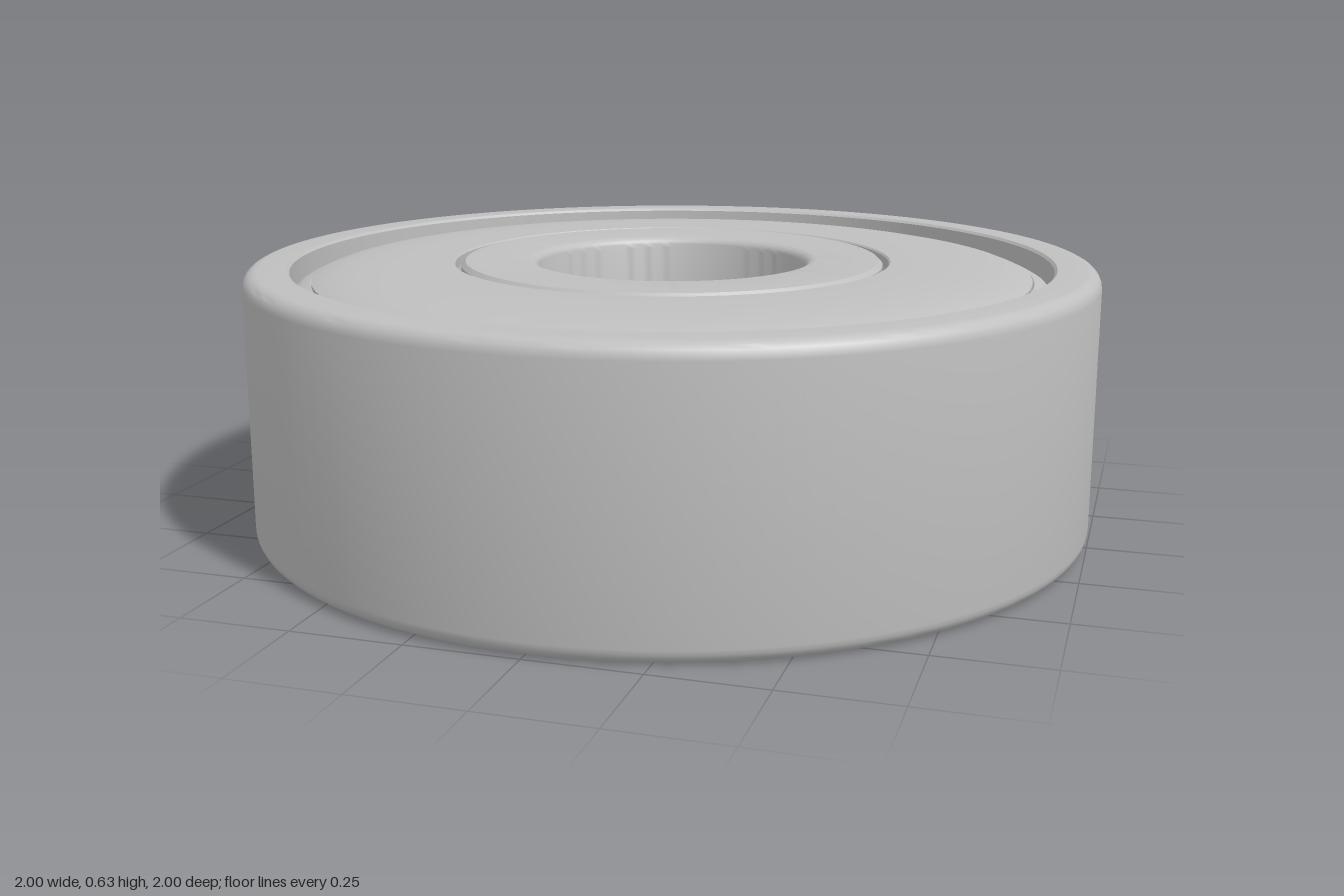
import * as THREE from 'three';
import { toCreasedNormals } from 'three/addons/utils/BufferGeometryUtils.js';

const HALF = 0.316; // half of the bearing width
const COUNT = 8;    // balls and shield tabs

// Points on a quarter-round corner, angles in degrees
function corner(cx, cy, r, from, to, steps = 5) {
  const pts = [];
  for (let i = 0; i <= steps; i++) {
    const a = THREE.MathUtils.degToRad(from + (to - from) * i / steps);
    pts.push([cx + r * Math.cos(a), cy + r * Math.sin(a)]);
  }
  return pts;
}

// Closed profile (counter-clockwise in radius, height) turned about y
function turn(profile, segments = 128, start = 0, length = Math.PI * 2) {
  const pts = [...profile, profile[0]].map(([r, y]) => new THREE.Vector2(r, y));
  return toCreasedNormals(new THREE.LatheGeometry(pts, segments, start, length), 0.5);
}

export function createModel() {
  const model = new THREE.Group();
  model.name = 'ballBearing';
  const steel = new THREE.MeshStandardMaterial({ color: 0xbfbfbf, side: THREE.DoubleSide });
  steel.name = 'steel';

  const add = (parent, name, geometry) => {
    const mesh = new THREE.Mesh(geometry, steel);
    mesh.name = name;
    parent.add(mesh);
    return mesh;
  };

  const bearing = new THREE.Group();
  bearing.name = 'bearing';
  bearing.position.y = HALF;
  model.add(bearing);

  // Outer ring with rounded rim, shield seats and ball raceway
  add(bearing, 'outerRing', turn([
    ...corner(0.965, -HALF + 0.035, 0.035, -90, 0),
    ...corner(0.965, HALF - 0.035, 0.035, 0, 90),
    [0.9, HALF], [0.894, HALF - 0.006], [0.894, 0.235], [0.8, 0.235],
    ...corner(0.66, 0, 0.182, 40, -40, 12),
    [0.8, -0.235], [0.894, -0.235], [0.894, -HALF + 0.006], [0.9, -HALF],
  ]));

  // Inner ring with rounded bore edges and ball raceway
  add(bearing, 'innerRing', turn([
    [0.49, -HALF], [0.5, -HALF + 0.01],
    ...corner(0.66, 0, 0.182, 208, 152, 12),
    [0.5, HALF - 0.01], [0.49, HALF],
    ...corner(0.343, HALF - 0.025, 0.025, 90, 180),
    ...corner(0.343, -HALF + 0.025, 0.025, 180, 270),
  ]));

  // Balls
  const ball = new THREE.SphereGeometry(0.18, 32, 20);
  for (let i = 0; i < COUNT; i++) {
    const a = i * Math.PI * 2 / COUNT;
    add(bearing, 'ball', ball).position.set(0.66 * Math.sin(a), 0, 0.66 * Math.cos(a));
  }

  // Domed shield and its slit, bent-down rim
  const shieldGeo = turn([
    [0.514, 0.288], [0.6, 0.288], [0.7, 0.283], [0.78, 0.27], [0.846, 0.25],
    [0.846, 0.284], [0.82, 0.294], [0.78, 0.302], [0.74, 0.307], [0.69, 0.311],
    [0.63, 0.3135], [0.57, 0.314], [0.518, 0.314], [0.514, 0.31],
  ]);
  const step = Math.PI * 2 / COUNT, slit = 0.028;
  const rimGeo = turn([
    [0.846, 0.24], [0.889, 0.24], [0.889, 0.258], [0.882, 0.266],
    [0.868, 0.274], [0.85, 0.28], [0.846, 0.276],
  ], 16, slit / 2, step - slit);

  for (const side of ['top', 'bottom']) {
    const shield = new THREE.Group();
    shield.name = side + 'Shield';
    if (side === 'bottom') shield.rotation.x = Math.PI;
    add(shield, 'shieldPlate', shieldGeo);
    for (let i = 0; i < COUNT; i++) add(shield, 'rimTab', rimGeo).rotation.y = i * step;
    bearing.add(shield);
  }
  return model;
}
